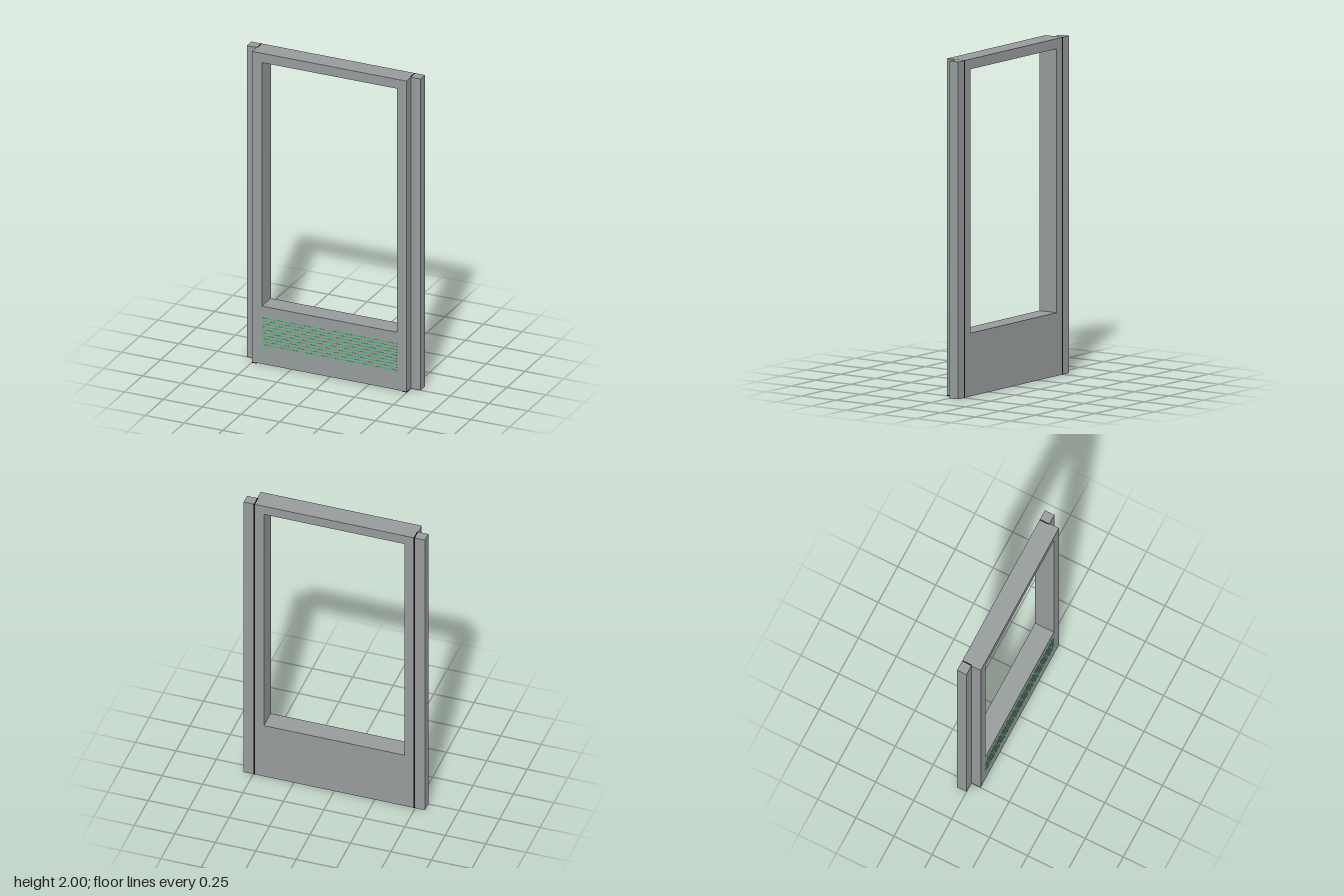
import * as THREE from 'three';

export function createModel() {
  const group = new THREE.Group();
  const material = (name, color) => {
    const m = new THREE.MeshStandardMaterial({ color });
    m.name = name;
    return m;
  };
  const grey = material('greyMetal', 0x969b9b);
  const black = material('blackRubber', 0x0c0c0c);
  const green = material('greenLight', 0x00cc44);

  // Box given by its lower and upper corners
  const box = (name, mat, [x0, y0, z0], [x1, y1, z1]) => {
    const mesh = new THREE.Mesh(new THREE.BoxGeometry(x1 - x0, y1 - y0, z1 - z0), mat);
    mesh.position.set((x0 + x1) / 2, (y0 + y1) / 2, (z0 + z1) / 2);
    mesh.name = name;
    group.add(mesh);
  };

  // Frame slab with the large window opening
  const frame = (name, halfWidth, bottom, z0, z1) => {
    const rect = (Path, w, y0, y1) => new Path([
      new THREE.Vector2(-w, y0), new THREE.Vector2(w, y0),
      new THREE.Vector2(w, y1), new THREE.Vector2(-w, y1),
    ]);
    const shape = rect(THREE.Shape, halfWidth, bottom, 2);
    shape.holes.push(rect(THREE.Path, 0.435, 0.375, 1.94));
    const geometry = new THREE.ExtrudeGeometry(shape, { depth: z1 - z0, bevelEnabled: false });
    const mesh = new THREE.Mesh(geometry, grey);
    mesh.position.z = z0;
    mesh.name = name;
    group.add(mesh);
  };
  frame('frontFrame', 0.498, 0.005, 0, 0.062);
  frame('backFrame', 0.49, 0, -0.062, 0);

  // Side jambs, seals and feet on both sides
  for (const [side, s] of [['left', 1], ['right', -1]]) {
    const mirrored = (name, mat, xIn, xOut, y0, y1, z0, z1) => box(side + name, mat,
      [Math.min(s * xIn, s * xOut), y0, z0], [Math.max(s * xIn, s * xOut), y1, z1]);
    mirrored('Jamb', grey, 0.498, 0.56, 0, 2, -0.062, 0);
    mirrored('Seal', black, 0.49, 0.498, 0, 2, -0.062, 0);
    mirrored('Foot', black, 0.468, 0.498, 0, 0.005, 0, 0.062);
  }

  // Thin light strips below the window
  for (let i = 0; i < 10; i++) {
    const y = 0.13 + i * 0.019;
    box('lightStrip' + (i + 1), green, [-0.435, y - 0.0015, 0.061], [0.435, y + 0.0015, 0.0625]);
  }
  return group;
}
